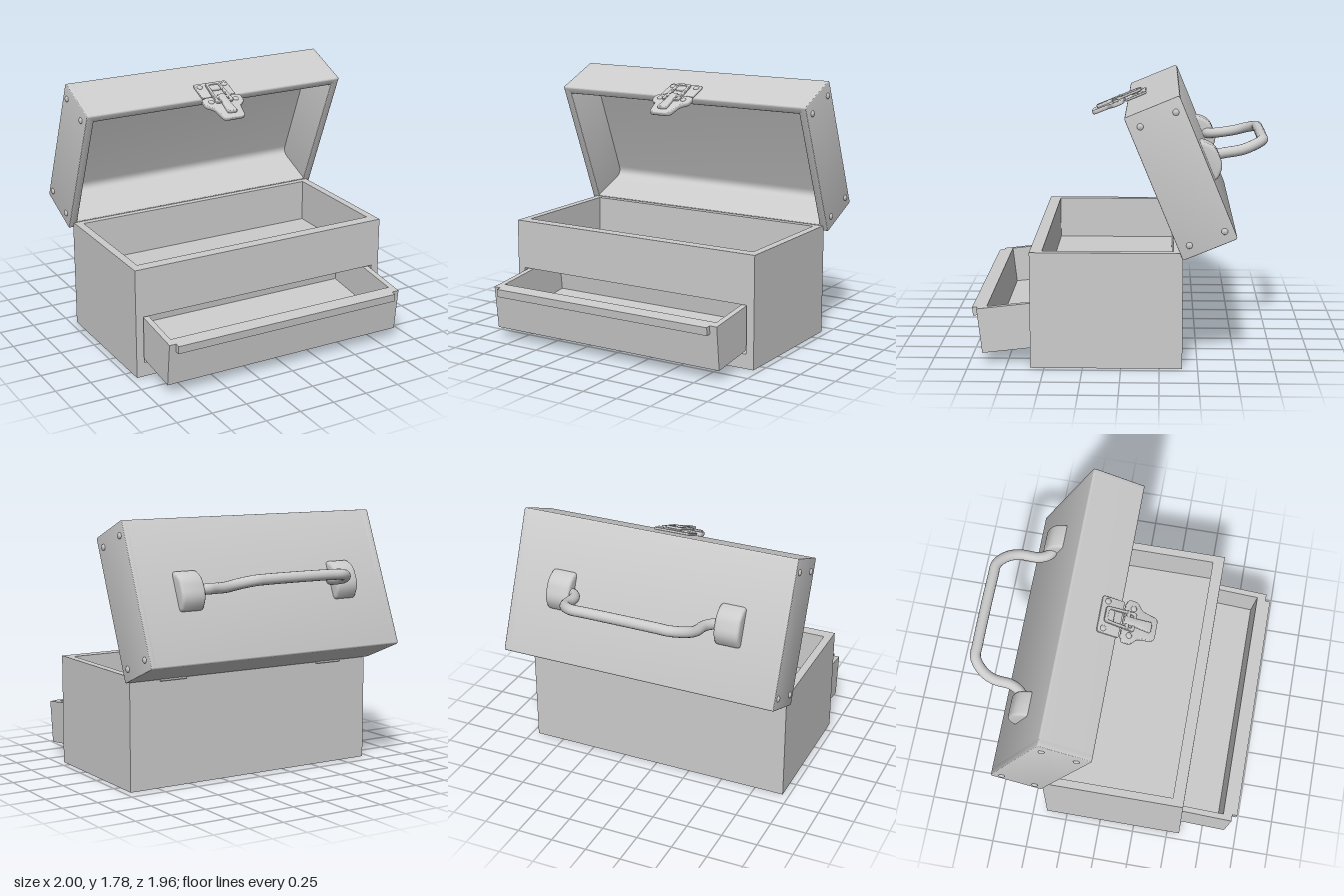
import * as THREE from 'three';
import { toCreasedNormals } from 'three/addons/utils/BufferGeometryUtils.js';
import { RoundedBoxGeometry } from 'three/addons/geometries/RoundedBoxGeometry.js';

const material = new THREE.MeshStandardMaterial({ color: 0xcccccc });

function add(parent, name, geometry, x = 0, y = 0, z = 0) {
  const mesh = new THREE.Mesh(geometry, material);
  mesh.name = name;
  mesh.position.set(x, y, z);
  parent.add(mesh);
  return mesh;
}

// Box given by its limits on each axis
function block(parent, name, [x0, x1], [y0, y1], [z0, z1]) {
  return add(parent, name, new THREE.BoxGeometry(x1 - x0, y1 - y0, z1 - z0),
    (x0 + x1) / 2, (y0 + y1) / 2, (z0 + z1) / 2);
}

function rectangle(Type, x0, y0, x1, y1) {
  return new Type([[x0, y0], [x1, y0], [x1, y1], [x0, y1]].map(p => new THREE.Vector2(...p)));
}

// Closed outline whose corners [x, y, radius] are rounded
function roundedShape(corners) {
  const shape = new THREE.Shape();
  corners.forEach(([x, y, r], i) => {
    const corner = new THREE.Vector2(x, y);
    const toward = ([a, b]) => new THREE.Vector2(a, b).sub(corner).setLength(r).add(corner);
    const a = toward(corners.at(i - 1)), b = toward(corners[(i + 1) % corners.length]);
    if (i) shape.lineTo(a.x, a.y); else shape.moveTo(a.x, a.y);
    shape.quadraticCurveTo(x, y, b.x, b.y);
  });
  shape.closePath();
  return shape;
}

function extrude(shape, depth, bevel = 0) {
  const geometry = new THREE.ExtrudeGeometry(shape, {
    depth: depth - 2 * bevel, bevelEnabled: bevel > 0, bevelSize: bevel,
    bevelOffset: -bevel, bevelThickness: bevel, bevelSegments: 3, curveSegments: 8,
  });
  geometry.translate(0, 0, bevel);
  return toCreasedNormals(geometry, 0.6);
}

// Extrusion along x of an outline drawn in (z, y)
function extrudeAcross(shape, width, bevel = 0) {
  return extrude(shape, width, bevel).translate(0, 0, -width / 2).rotateY(-Math.PI / 2);
}

// Domed rivet head pointing along +y
function rivetGeometry(radius, height) {
  const points = [[radius, 0], [radius, height * 0.45], [radius * 0.75, height * 0.85], [0, height]];
  return new THREE.LatheGeometry(points.map(p => new THREE.Vector2(...p)), 16);
}

function createBody() {
  const body = new THREE.Group();
  body.name = 'body';
  const front = rectangle(THREE.Shape, -0.955, 0, 0.955, 0.77);
  front.holes.push(rectangle(THREE.Path, -0.9, 0.1, 0.9, 0.43));
  add(body, 'frontPanel', extrude(front, 0.08), 0, 0, 0.51);
  block(body, 'backPanel', [-0.955, 0.955], [0, 0.77], [-0.4, -0.34]);
  for (const s of [-1, 1]) {
    block(body, 'sidePanel', [s * 0.9275 - 0.0275, s * 0.9275 + 0.0275], [0, 0.77], [-0.34, 0.51]);
  }
  block(body, 'bottomPanel', [-0.9, 0.9], [0, 0.1], [-0.34, 0.51]);
  block(body, 'trayFloor', [-0.9, 0.9], [0.43, 0.47], [-0.34, 0.51]);
  return body;
}

// Drawer pulled out and tipped forward; origin at its upper front edge
function createDrawer() {
  const drawer = new THREE.Group();
  drawer.name = 'drawer';
  drawer.position.set(-0.003, 0.375, 0.945);
  drawer.rotation.x = 0.115;
  const back = -0.75;
  block(drawer, 'drawerFloor', [-0.888, 0.888], [-0.3, -0.26], [back, 0]);
  block(drawer, 'drawerFront', [-0.888, 0.888], [-0.26, 0], [-0.065, 0]);
  block(drawer, 'drawerBack', [-0.888, 0.888], [-0.26, 0], [back, back + 0.05]);
  for (const s of [-1, 1]) {
    block(drawer, 'drawerSide', [s * 0.868 - 0.02, s * 0.868 + 0.02], [-0.26, 0], [back + 0.05, -0.065]);
  }
  block(drawer, 'drawerPull', [-0.84, 0.835], [-0.056, 0], [0, 0.035]);
  return drawer;
}

// Latch drawn flat: x across, y along the lid front, z outward
function createLatch() {
  const latch = new THREE.Group();
  latch.name = 'latch';
  const mirrored = half => roundedShape([...half, ...half.map(([x, y, r]) => [-x, y, r]).reverse()]);
  add(latch, 'upperPlate', extrude(mirrored([[0.128, -0.01, 0.01], [0.128, 0.145, 0.02]]), 0.016, 0.004));
  add(latch, 'lowerPlate', extrude(mirrored([
    [0.08, -0.257, 0.03], [0.1, -0.14, 0.02], [0.15, -0.1, 0.02], [0.15, -0.035, 0.015], [0.11, -0.02, 0.01],
  ]), 0.03, 0.007), 0, 0, -0.005);
  // Loop that joins the two plates
  const loop = roundedShape([[-0.068, -0.1, 0.02], [0.068, -0.1, 0.02], [0.055, 0.115, 0.02], [-0.055, 0.115, 0.02]]);
  loop.holes.push(roundedShape([[-0.046, -0.08, 0.012], [-0.037, 0.093, 0.012], [0.037, 0.093, 0.012], [0.046, -0.08, 0.012]]));
  add(latch, 'loop', extrude(loop, 0.018, 0.004), 0, 0, 0.023);
  add(latch, 'catch', new RoundedBoxGeometry(0.085, 0.055, 0.03, 2, 0.01), 0, 0.075, 0.018);
  add(latch, 'lever', extrude(mirrored([[0.037, -0.215, 0.015], [0.028, -0.1, 0.01], [0.028, -0.02, 0.01]]),
    0.03, 0.007), 0, 0, 0.015);
  add(latch, 'leverPivot', new THREE.CylinderGeometry(0.013, 0.013, 0.13, 12).rotateZ(Math.PI / 2), 0, -0.045, 0.032);
  for (const s of [-1, 1]) {
    for (const [y, z] of [[0.105, 0.015], [-0.075, 0.024]]) {
      add(latch, 'latchRivet', rivetGeometry(0.02, 0.012).rotateX(Math.PI / 2), s * 0.095, y, z);
    }
  }
  return latch;
}

// Lid hinged at its origin: z runs to its front edge, y to its top
function createLid() {
  const lid = new THREE.Group();
  lid.name = 'lid';
  lid.position.set(0, 0.73, -0.4);
  lid.rotation.x = -THREE.MathUtils.degToRad(67.5);
  const L = 0.99, H = 0.377, t = 0.055;
  const shell = roundedShape([
    [0, 0, 0.012], [t, 0, 0.012], [t, H - t, 0.06], [L - t, H - t, 0.06],
    [L - t, 0, 0.012], [L, 0, 0.012], [L, H, 0.018], [0, H, 0.018],
  ]);
  add(lid, 'lidShell', extrudeAcross(shell, 1.9));
  const end = roundedShape([[0, 0, 0.012], [L, 0, 0.012], [L, H, 0.018], [0, H, 0.018]]);
  for (const s of [-1, 1]) {
    add(lid, 'lidEnd', extrudeAcross(end, t, 0.005), s * (0.987 - t / 2));
    for (const z of [0.078, 0.902]) {
      for (const y of [0.075, 0.317]) {
        add(lid, 'lidRivet', rivetGeometry(0.021, 0.015).rotateZ(-s * Math.PI / 2), s * 0.985, y, z);
      }
    }
    // Domed foot under each end of the handle
    const foot = roundedShape([[-0.135, -0.02, 0.005], [0.135, -0.02, 0.005], [0.135, 0.015, 0.02],
      [0.07, 0.082, 0.05], [-0.07, 0.082, 0.05], [-0.135, 0.015, 0.02]]);
    add(lid, 'handleFoot', extrudeAcross(foot, 0.175, 0.02), s * 0.612, H, 0.488);
    add(lid, 'hinge', new THREE.CylinderGeometry(0.012, 0.012, 0.2, 12).rotateZ(Math.PI / 2), s * 0.63, 0.005, 0);
  }
  const latch = createLatch();
  latch.position.set(-0.005, 0, L);
  lid.add(latch);
  return lid;
}

// Bent bar handle swung out behind the lid
function createHandle() {
  const half = [
    [0.56, 1.33, -0.575], [0.505, 1.335, -0.605], [0.47, 1.345, -0.67], [0.46, 1.365, -0.79],
    [0.425, 1.39, -0.87], [0.345, 1.413, -0.935], [0.25, 1.417, -0.94],
  ];
  const points = [...half, ...half.map(([x, y, z]) => [-x, y, z]).reverse()].map(p => new THREE.Vector3(...p));
  const handle = new THREE.Mesh(
    new THREE.TubeGeometry(new THREE.CatmullRomCurve3(points), 96, 0.036, 16), material);
  handle.name = 'handle';
  return handle;
}

export function createModel() {
  const model = new THREE.Group();
  model.name = 'toolbox';
  model.add(createBody(), createDrawer(), createLid(), createHandle());
  return model;
}
